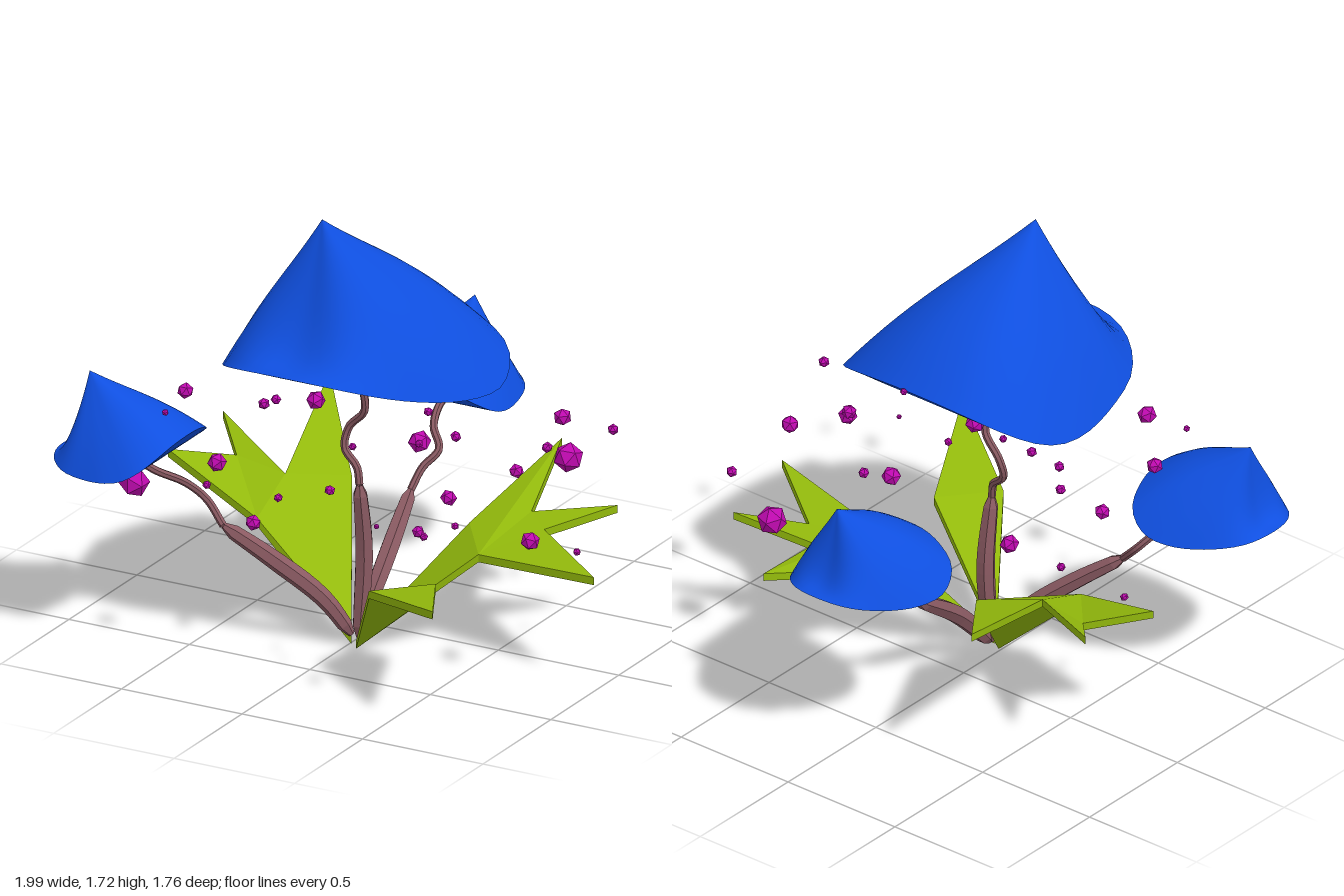
import * as THREE from 'three';

const V = (p) => new THREE.Vector3(...p);
const material = (color, flatShading) =>
  new THREE.MeshStandardMaterial({ color, flatShading, side: THREE.DoubleSide });
const capMat = material(0x0f4fe0, false);
const stemMat = material(0x8a5a62, true);
const leafMat = material(0x94bb0c, true);
const sporeMat = material(0xc00ab0, true);

function named(name, geometry, mat) {
  const mesh = new THREE.Mesh(geometry, mat);
  mesh.name = name;
  return mesh;
}

// Surface through a grid of rings; point(t, i) with t from 0 to 1
function rings(rows, cols, point) {
  const pos = [], index = [];
  for (let r = 0; r <= rows; r++)
    for (let c = 0; c < cols; c++) pos.push(...point(r / rows, c));
  for (let r = 0; r < rows; r++)
    for (let c = 0; c < cols; c++) {
      const a = r * cols + c, b = r * cols + (c + 1) % cols;
      index.push(a, a + cols, b, b, a + cols, b + cols);
    }
  const g = new THREE.BufferGeometry();
  g.setAttribute('position', new THREE.Float32BufferAttribute(pos, 3));
  g.setIndex(index);
  g.computeVertexNormals();
  return g;
}

// Mushroom cap: off-centre peak, saddle-shaped rim and curved underside
const RIM = [[0.03, 0.53], [0.25, 0.48], [0.42, 0.3], [0.54, 0.08], [0.57, -0.1], [0.5, -0.28], [0.3, -0.38],
  [0.05, -0.41], [-0.2, -0.37], [-0.36, -0.24], [-0.41, -0.05], [-0.39, 0.16], [-0.33, 0.36], [-0.18, 0.49]];
const saddle = (z) => (z + 0.05) ** 2 * (z > -0.05 ? 0.43 : 1.35);

function cap(name, mirror) {
  const n = 48;
  let control = RIM.map(([x, z]) => V([x * mirror, 0, z]));
  if (mirror < 0) control = control.reverse();
  const rim = new THREE.CatmullRomCurve3(control, true).getSpacedPoints(n).slice(0, n);
  const peak = V([0, 0.65, 0.21]);
  const top = rings(14, n, (t, i) => {
    const p = rim[i];
    const dx = p.x - peak.x, dz = p.z - peak.z;
    const front = Math.max(0, dz / Math.hypot(dx, dz)) ** 2;
    const bulge = Math.sin(Math.PI * t) * (-0.16 * front + 0.05 * (1 - front) * t);
    return [dx * t, peak.y + (saddle(p.z) - peak.y) * t + bulge, peak.z + dz * t];
  });
  const under = rings(8, n, (t, i) => {
    const p = rim[i], s = 1 - t;
    return [p.x * s, saddle(p.z * s), p.z * s];
  });
  const group = new THREE.Group();
  group.name = name;
  group.add(named('capTop', top, capMat), named('capUnderside', under, capMat));
  return group;
}

// Tube whose radius follows a rule along its length
function taperedTube(points, segments, sides, radius) {
  const curve = new THREE.CatmullRomCurve3(points.map(V));
  const g = new THREE.TubeGeometry(curve, segments, 1, sides);
  const pos = g.attributes.position, v = new THREE.Vector3();
  for (let i = 0; i < pos.count; i++) {
    const t = Math.floor(i / (sides + 1)) / segments;
    const c = curve.getPointAt(t);
    v.fromBufferAttribute(pos, i).sub(c).multiplyScalar(radius(t)).add(c);
    pos.setXYZ(i, v.x, v.y, v.z);
  }
  g.computeVertexNormals();
  return g;
}

// Thick angular trunk with a thin winding stalk above it
function stem(name, trunk, stalk) {
  const group = new THREE.Group();
  group.name = name;
  const trunkRadius = (t) => (t === 0 || t === 1 ? 0.012 : 0.026 + 0.01 * Math.sin(Math.PI * t));
  group.add(named('trunk', taperedTube(trunk, 14, 6, trunkRadius), stemMat));
  group.add(named('stalk', taperedTube([trunk.at(-1), ...stalk], 28, 7, () => 0.015), stemMat));
  return group;
}

// Folded leaf plate; outline runs base, shoulder, tips and notches, shoulder
function leaf(name, outline) {
  const n = outline.length, thick = 0.03;
  const flat = outline.slice(1).map((p) => new THREE.Vector2(p[0], -p[2]));
  const faces = THREE.ShapeUtils.triangulateShape(flat, []).map((f) => f.map((k) => k + 1));
  faces.push([0, 1, n - 1]);
  const pos = [];
  const tri = (...pts) => pts.forEach((p) => pos.push(...p));
  const low = outline.map(([x, y, z]) => [x, y - thick, z]);
  low[0][1] = 0;
  for (const f of faces) {
    let [a, b, c] = f;
    const A = outline[a], B = outline[b], C = outline[c];
    const up = (B[2] - A[2]) * (C[0] - A[0]) - (B[0] - A[0]) * (C[2] - A[2]);
    if (up < 0) [b, c] = [c, b];
    tri(outline[a], outline[b], outline[c]);
    tri(low[a], low[c], low[b]);
  }
  // plate edge
  const area = THREE.ShapeUtils.area(outline.map((p) => new THREE.Vector2(p[0], -p[2])));
  for (let i = 0; i < n; i++) {
    let a = i, b = (i + 1) % n;
    if (area < 0) [a, b] = [b, a];
    tri(outline[a], low[a], low[b]);
    tri(outline[a], low[b], outline[b]);
  }
  const g = new THREE.BufferGeometry();
  g.setAttribute('position', new THREE.Float32BufferAttribute(pos, 3));
  g.computeVertexNormals();
  return named(name, g, leafMat);
}

// Floating spores: x, y, z, radius
const SPORES_LARGE = [[-0.69, 0.62, 0.57, 0.058], [0.56, 0.62, -0.41, 0.056], [0.83, 0.61, 0.35, 0.036],
  [-0.59, 0.925, 0.37, 0.031], [-0.35, 0.75, -0.165, 0.036], [-0.25, 0.84, 0.74, 0.036], [-0.02, 1.04, 0.04, 0.037],
  [0.15, 0.877, -0.23, 0.037], [0.43, 0.955, 0.455, 0.043], [0.665, 0.877, -0.18, 0.034], [0.66, 0.78, 0.15, 0.028],
  [0.655, 0.79, 0.865, 0.024], [0.26, 0.525, -0.06, 0.031], [-0.23, 0.53, 0.51, 0.03]];
const SPORES_SMALL = [[0.47, 0.915, 0.26, 0.021], [0.81, 0.915, 0.19, 0.021], [0.605, 1.09, 0.77, 0.016],
  [0.74, 0.76, -0.42, 0.021], [0.77, 0.4, -0.1, 0.015], [0.345, 0.98, 0.24, 0.018], [-0.435, 1.025, 0.015, 0.02],
  [-0.23, 0.965, 0.43, 0.022], [-0.355, 0.85, 0.12, 0.02], [0.06, 0.695, 0.46, 0.02], [0.07, 0.815, 0.31, 0.015],
  [-0.32, 0.49, 0.165, 0.017], [-0.62, 0.48, 0.16, 0.016], [0.45, 0.59, 0.46, 0.016], [-0.53, 0.94, 0.625, 0.013],
  [0.22, 1.04, -0.1, 0.01], [0.4, 0.71, 0.72, 0.011], [0.147, 0.965, -0.39, 0.021], [0.1, 1.245, -0.22, 0.014],
  [0.67, 0.73, 0.62, 0.015]];

export function createModel() {
  const model = new THREE.Group();
  model.name = 'mushroomPlant';

  // caps
  const placeCap = (c, position, scale, tilt, turn) => {
    c.position.set(...position);
    c.scale.setScalar(scale);
    c.rotation.set(tilt, turn, 0, 'YXZ');
    model.add(c);
  };
  placeCap(cap('largeCap', 1), [0, 1.07, 0.2], 1, 0, 0);
  placeCap(cap('rightCap', -1), [-0.69, 0.69, 0.57], 0.55, 0.2, -Math.PI / 2);
  placeCap(cap('backCap', 1), [-0.01, 0.685, -0.57], 0.56, 0.13, Math.PI);

  // stems
  model.add(
    stem('largeStem', [[0.035, 0.03, 0.2], [0.045, 0.35, 0.18], [0.045, 0.63, 0.215]],
      [[0.03, 0.69, 0.205], [-0.03, 0.75, 0.19], [-0.02, 0.83, 0.175], [0.05, 0.91, 0.185], [0.045, 1.02, 0.205], [0.01, 1.12, 0.225]]),
    stem('rightStem', [[0.01, 0.04, 0.21], [-0.08, 0.18, 0.26], [-0.25, 0.33, 0.34], [-0.41, 0.45, 0.41]],
      [[-0.49, 0.53, 0.39], [-0.55, 0.6, 0.44], [-0.63, 0.66, 0.52], [-0.69, 0.71, 0.56]]),
    stem('backStem', [[0.02, 0.05, 0.17], [0.02, 0.24, -0.01], [-0.015, 0.43, -0.27]],
      [[0, 0.5, -0.33], [0.04, 0.56, -0.38], [-0.01, 0.62, -0.43], [-0.03, 0.67, -0.5], [-0.02, 0.72, -0.58]]),
  );

  // leaves
  model.add(
    leaf('frontLeaf', [[0.045, 0.03, 0.24], [0.29, 0.39, 0.58], [0.715, 0.49, 0.865], [0.46, 0.385, 0.39]]),
    leaf('leftLeaf', [[0.045, 0.03, 0.23], [0.29, 0.4, -0.16], [0.39, 0.575, -0.665], [0.505, 0.46, -0.235],
      [0.815, 0.515, -0.32], [0.62, 0.45, -0.125], [0.995, 0.44, 0.175], [0.46, 0.39, 0.075]]),
    leaf('rightLeaf', [[0.01, 0.05, 0.21], [-0.215, 0.475, -0.19], [-0.555, 0.66, -0.63], [-0.415, 0.49, -0.055],
      [-0.8, 0.58, -0.28], [-0.645, 0.5, -0.105], [-0.835, 0.545, 0.065], [-0.4, 0.4, 0.18]]),
  );

  // spores
  const spores = new THREE.Group();
  spores.name = 'spores';
  [...SPORES_LARGE, ...SPORES_SMALL].forEach(([x, y, z, r], i) => {
    const s = named('spore', new THREE.IcosahedronGeometry(r, 0), sporeMat);
    s.position.set(x, y, z);
    s.rotation.set(i * 1.3, i * 2.1, 0);
    spores.add(s);
  });
  model.add(spores);
  return model;
}
